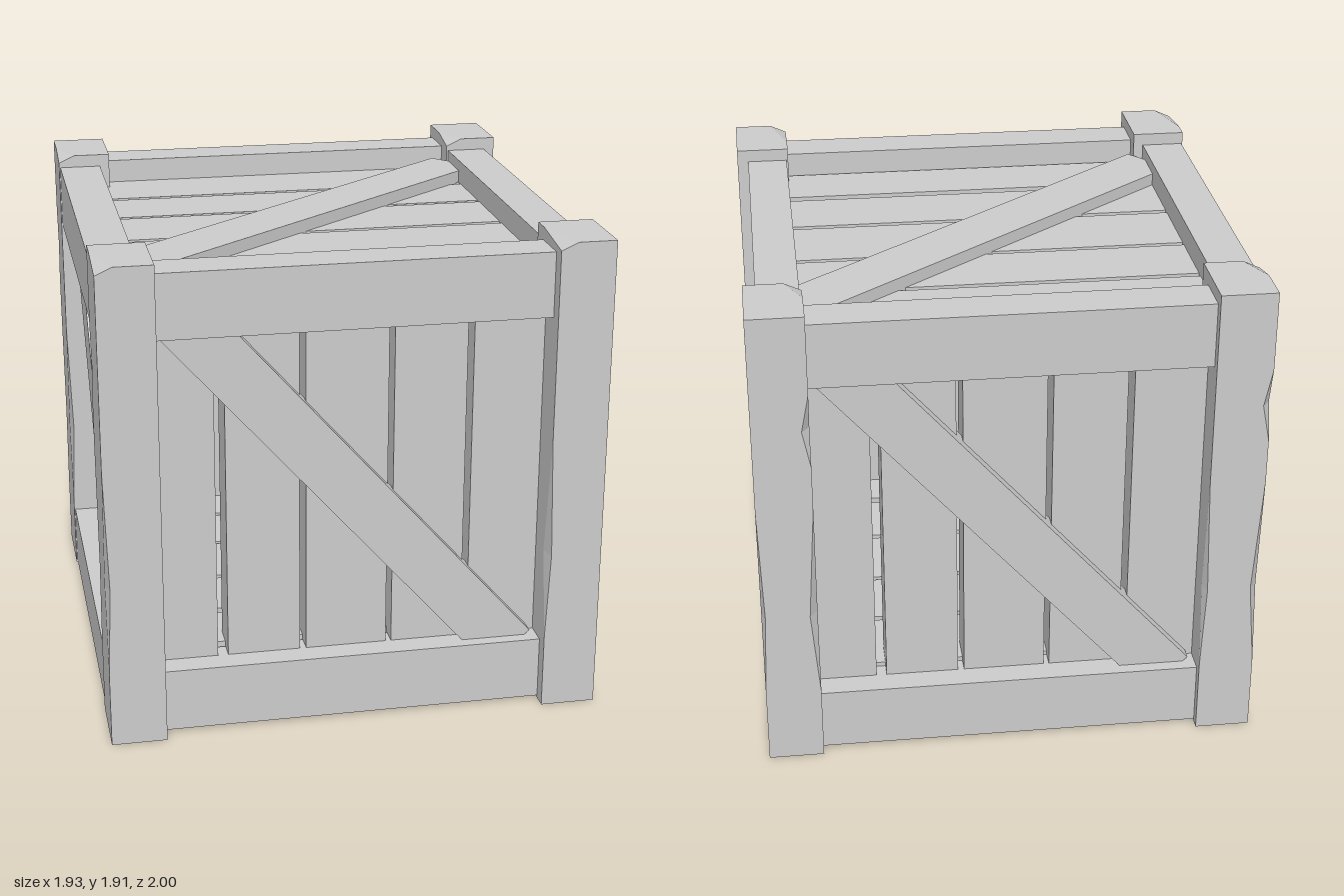
import * as THREE from 'three';

const wood = new THREE.MeshStandardMaterial({ color: 0xcccccc, flatShading: true });

// Box spanning the given ranges
function box(name, [x0, x1], [y0, y1], [z0, z1]) {
  const mesh = new THREE.Mesh(new THREE.BoxGeometry(x1 - x0, y1 - y0, z1 - z0), wood);
  mesh.position.set((x0 + x1) / 2, (y0 + y1) / 2, (z0 + z1) / 2);
  mesh.name = name;
  return mesh;
}

// Post stacked from rings of eight points; each corner is cut back where the wood is chipped
function postGeometry(w, d, chip) {
  const levels = [0, 0.3, 0.65, 1.13, 1.3, 1.45, 1.6, 1.88, 1.91];
  const corners = [
    { sx: -1, sz: 1, cuts: { 0.65: [0.015, 0.06], 1.91: [0.065, chip] } },
    { sx: 1, sz: 1, cuts: {} },
    { sx: 1, sz: -1, cuts: { 0.65: [0.015, 0.04] } },
    { sx: -1, sz: -1, cuts: { 0.65: [0.03, 0.04], 1.45: [0.03, 0.04] } },
  ];
  const pos = [], index = [], n = 8;
  for (const y of levels) {
    corners.forEach(({ sx, sz, cuts }, i) => {
      const [cx, cz] = cuts[y] || [0, 0];
      const x = sx * w / 2, z = sz * d / 2;
      const alongX = [x - sx * cx, y, z], alongZ = [x, y, z - sz * cz];
      pos.push(...(i % 2 ? [...alongX, ...alongZ] : [...alongZ, ...alongX]));
    });
  }
  for (let l = 0; l < levels.length - 1; l++) {
    for (let i = 0; i < n; i++) {
      const a = l * n + i, b = l * n + (i + 1) % n;
      index.push(a, b, b + n, a, b + n, a + n);
    }
  }
  const top = (levels.length - 1) * n;
  for (let i = 1; i < n - 1; i++) index.push(top, top + i, top + i + 1, 0, i + 1, i);
  const indexed = new THREE.BufferGeometry();
  indexed.setAttribute('position', new THREE.Float32BufferAttribute(pos, 3));
  indexed.setIndex(index);
  const geometry = indexed.toNonIndexed();
  geometry.computeVertexNormals();
  return geometry;
}

// Five planks and a diagonal brace, facing local +z; z = 0 is the outer face of the rails
function panel(name, halfLength, brace) {
  const group = new THREE.Group();
  group.name = name;
  const planks = [[-0.78, -0.525], [-0.485, -0.2], [-0.175, 0.145], [0.167, 0.45], [0.475, 0.78]];
  for (const span of planks) {
    group.add(box('plank', span, [-halfLength, halfLength], [-0.265, -0.1]));
  }
  const { length, width, angle } = brace;
  const diagonal = box('diagonalBrace', [-length / 2, length / 2], [-width / 2, width / 2], [-0.15, -0.05]);
  diagonal.rotation.z = -THREE.MathUtils.degToRad(angle);
  group.add(diagonal);
  return group;
}

// Places a panel by the directions of its local x and z axes
function place(group, xAxis, zAxis, position) {
  const x = new THREE.Vector3(...xAxis), z = new THREE.Vector3(...zAxis);
  const y = new THREE.Vector3().crossVectors(z, x);
  group.quaternion.setFromRotationMatrix(new THREE.Matrix4().makeBasis(x, y, z));
  group.position.set(...position);
  return group;
}

export function createModel() {
  const crate = new THREE.Group();
  crate.name = 'woodenCrate';

  // Corner posts
  for (const sx of [-1, 1]) {
    for (const sz of [-1, 1]) {
      const post = new THREE.Mesh(postGeometry(0.215, 0.3, sz > 0 ? 0.22 : 0.14), wood);
      post.position.set(sx * 0.8575, 0, sz * 0.85);
      post.name = 'cornerPost';
      crate.add(post);
    }
  }

  // Top and bottom rails on the four sides
  for (const [level, span] of [['bottom', [0.01, 0.262]], ['top', [1.605, 1.86]]]) {
    crate.add(
      box(level + 'FrontRail', [-0.755, 0.755], span, [0.77, 0.94]),
      box(level + 'BackRail', [-0.755, 0.755], span, [-0.96, -0.79]),
      box(level + 'LeftRail', [0.757, 0.92], span, [-0.705, 0.705]),
      box(level + 'RightRail', [-0.96, -0.79], span, [-0.705, 0.705]),
    );
  }

  // Planked panels on all six faces
  const sideBrace = { length: 1.935, width: 0.22, angle: 48.6 };
  const lidBrace = { length: 2.04, width: 0.23, angle: 50.5 };
  const side = (name) => panel(name, 0.77, sideBrace);
  const lid = (name) => panel(name, 0.8, lidBrace);
  crate.add(
    place(side('frontPanel'), [1, 0, 0], [0, 0, 1], [0, 0.933, 0.94]),
    place(side('backPanel'), [-1, 0, 0], [0, 0, -1], [0, 0.933, -0.96]),
    place(side('leftPanel'), [0, 0, -1], [1, 0, 0], [0.92, 0.933, -0.043]),
    place(side('rightPanel'), [0, 0, 1], [-1, 0, 0], [-0.96, 0.933, 0.043]),
    place(lid('topPanel'), [0, 0, -1], [0, 1, 0], [-0.015, 1.865, -0.02]),
    place(lid('bottomPanel'), [0, 0, -1], [0, -1, 0], [-0.015, 0.015, -0.02]),
  );
  return crate;
}
